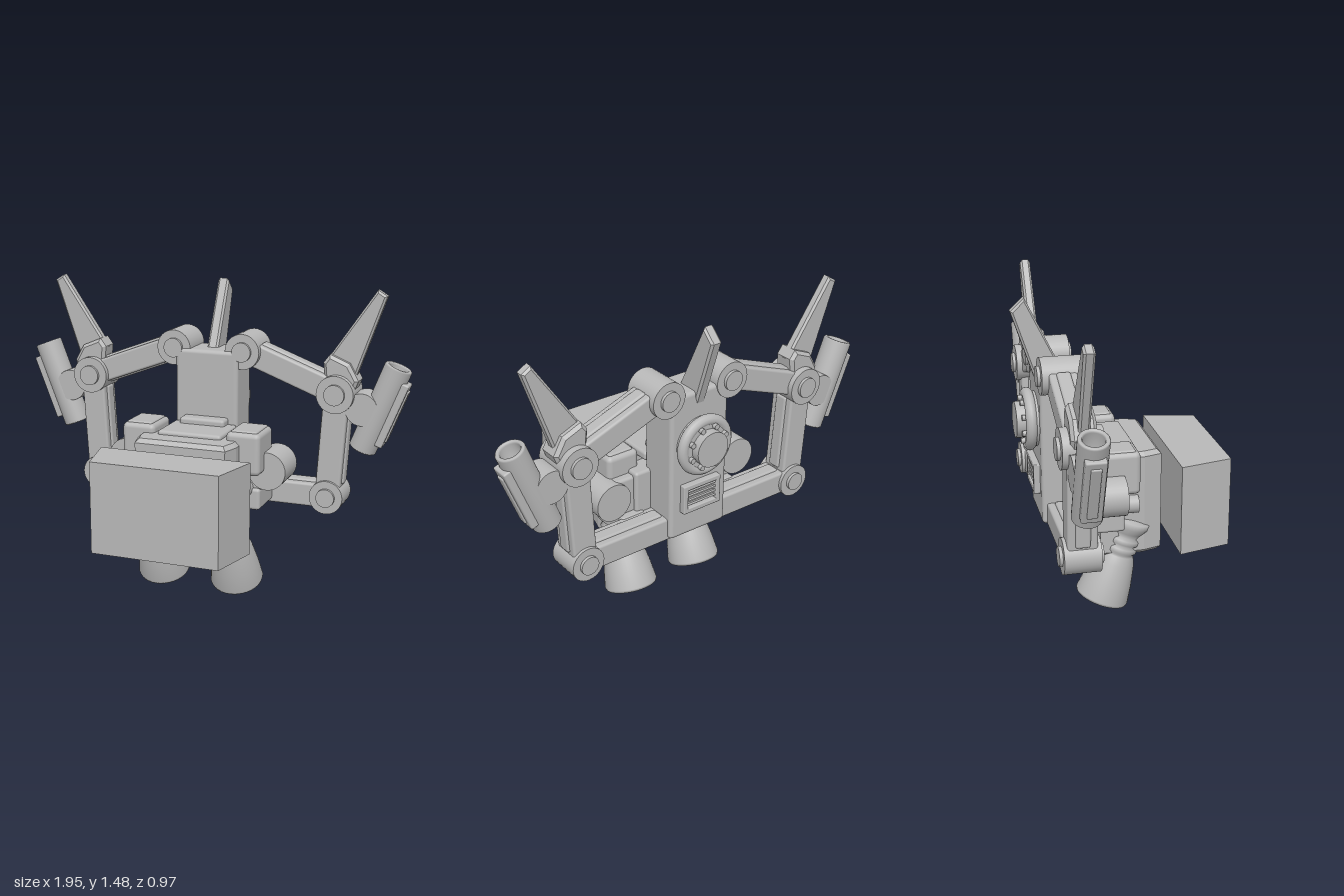
import * as THREE from 'three';
import { RoundedBoxGeometry } from 'three/addons/geometries/RoundedBoxGeometry.js';

export function createModel() {
  const root = new THREE.Group();
  const grey = new THREE.MeshStandardMaterial({ color: 0xb8b8b8 });

  const add = (name, geo, x = 0, y = 0, z = 0) => {
    const m = new THREE.Mesh(geo, grey);
    m.name = name;
    m.position.set(x, y, z);
    root.add(m);
    return m;
  };
  // Softly rounded box given by its extents
  const block = (name, [x0, x1], [y0, y1], [z0, z1], r = 0.015) =>
    add(name, new RoundedBoxGeometry(Math.abs(x1 - x0), y1 - y0, Math.abs(z1 - z0), 2, r),
      (x0 + x1) / 2, (y0 + y1) / 2, (z0 + z1) / 2);
  // Cylinder lying along z
  const drum = (name, x, y, z0, z1, r, r2 = r) => {
    const m = add(name, new THREE.CylinderGeometry(r, r2, Math.abs(z1 - z0), 32), x, y, (z0 + z1) / 2);
    m.rotation.x = Math.PI / 2;
    return m;
  };
  // Bevelled prism from an outline, centred in depth
  const prism = (pts, depth, bevel = 0) => {
    const g = new THREE.ExtrudeGeometry(new THREE.Shape(pts.map(p => new THREE.Vector2(...p))), {
      depth: depth - 2 * bevel, bevelEnabled: bevel > 0, bevelSize: bevel,
      bevelThickness: bevel, bevelOffset: -bevel, bevelSegments: 1 });
    return g.translate(0, 0, -(depth - 2 * bevel) / 2);
  };
  // Beam between two points in the front plane, with a raised rib
  const ARM_Z = -0.285;
  const beam = (name, [x0, y0], [x1, y1], h, d) => {
    const len = Math.hypot(x1 - x0, y1 - y0), a = Math.atan2(y1 - y0, x1 - x0);
    for (const [n, l, hh, dd] of [[name, len, h, d], [name + 'Rib', len * 0.75, h + 0.02, d * 0.5]])
      add(n, new RoundedBoxGeometry(l, hh, dd, 2, 0.012), (x0 + x1) / 2, (y0 + y1) / 2, ARM_Z).rotation.z = a;
  };
  // Pivot drum with small caps on both faces
  const joint = (name, x, y, r, half) => {
    drum(name, x, y, ARM_Z - half, ARM_Z + half, r);
    drum(name + 'Cap', x, y, ARM_Z - half - 0.015, ARM_Z + half + 0.015, r * 0.55);
  };

  // Floating front block, wider at its back
  add('frontBlock', prism([[-0.37, -0.235], [-0.31, -0.485], [0.31, -0.485], [0.37, -0.235]], 0.435)
    .rotateX(-Math.PI / 2), 0, 0.5275, 0);

  // Torso
  add('torso', prism([[-0.25, 0.12], [-0.25, -0.09], [-0.225, -0.175], [0.225, -0.175], [0.25, -0.09], [0.25, 0.12]],
    0.51, 0.02).rotateX(-Math.PI / 2), 0, 0.53, 0);
  block('neckPlate', [-0.16, 0.16], [0.76, 0.805], [-0.18, 0.06]);
  block('neckRidge', [-0.115, 0.115], [0.78, 0.835], [-0.19, -0.11]);
  block('backLink', [-0.24, 0.24], [0.42, 0.74], [-0.22, -0.1]);

  // Spine tower
  block('spine', [-0.16, 0.16], [0.43, 1.16], [-0.375, -0.175], 0.02);
  add('centreFin', prism([[-0.23, 1.1], [-0.375, 1.1], [-0.48, 1.42], [-0.415, 1.48]], 0.056, 0.01)
    .rotateY(-Math.PI / 2));

  // Round hatch with bolts on the back
  const HY = 0.903;
  drum('hatchBase', 0, HY, -0.43, -0.37, 0.13);
  add('hatchRing', new THREE.TorusGeometry(0.122, 0.026, 12, 40), 0, HY, -0.41);
  drum('hatchHub', 0, HY, -0.472, -0.4, 0.085);
  for (let i = 0; i < 8; i++) {
    const a = (i + 0.5) * Math.PI / 4;
    drum('hatchBolt', 0.1 * Math.cos(a), HY + 0.1 * Math.sin(a), -0.45, -0.42, 0.013);
  }

  // Vent frame with slats
  for (const s of [-1, 1]) {
    block('ventSide', [s * 0.08, s * 0.105], [0.565, 0.71], [-0.405, -0.36], 0.005);
    block('ventRail', [-0.1, 0.1], s < 0 ? [0.565, 0.59] : [0.685, 0.71], [-0.405, -0.36], 0.005);
  }
  for (let i = 0; i < 4; i++) {
    const slat = add('ventSlat', new THREE.BoxGeometry(0.17, 0.009, 0.03), 0, 0.603 + i * 0.023, -0.385);
    slat.rotation.x = 0.4;
  }

  // Thruster profile: hollow bell, ringed neck and upper sleeve
  const bell = new THREE.LatheGeometry([
    [0, 0.2], [0.065, 0.2], [0.09, 0.12], [0.115, 0.005], [0.125, 0], [0.129, 0.012], [0.116, 0.1],
    [0.095, 0.2], [0.078, 0.24], [0.074, 0.25], [0.084, 0.262], [0.084, 0.282], [0.072, 0.293],
    [0.084, 0.305], [0.084, 0.325], [0.072, 0.338], [0.08, 0.36], [0.098, 0.39], [0.098, 0.42], [0, 0.44],
  ].map(p => new THREE.Vector2(...p)), 36);

  for (const s of [-1, 1]) {
    // Shoulder pods, side drums and hip fittings
    block('pod', [s * 0.18, s * 0.348], [0.62, 0.825], [-0.16, 0.05], 0.025);
    block('podLid', [s * 0.2, s * 0.33], [0.8, 0.832], [-0.14, 0.03], 0.01);
    drum('sideDrum', s * 0.36, 0.63, -0.22, -0.03, 0.092);
    block('drumMount', [s * 0.22, s * 0.34], [0.53, 0.72], [-0.2, -0.04]);
    block('hipBlock', [s * 0.2, s * 0.33], [0.435, 0.54], [-0.24, -0.02]);
    drum('hipPin', s * 0.25, 0.537, -0.05, 0.057, 0.043);

    // Thruster
    add('thruster', bell, s * 0.193, 0.046, -0.106).rotation.x = 0.345;

    // Folded arm
    const shoulder = [s * 0.175, 1.16], elbow = [s * 0.634, 0.987], wrist = [s * 0.603, 0.478];
    beam('upperArm', shoulder, elbow, 0.115, 0.13);
    beam('foreArm', elbow, wrist, 0.12, 0.135);
    beam('lowerArm', wrist, [s * 0.1, 0.478], 0.115, 0.135);
    joint('shoulderJoint', ...shoulder, 0.086, 0.095);
    joint('elbowJoint', ...elbow, 0.09, 0.092);
    joint('wristJoint', ...wrist, 0.082, 0.083);

    // Blade and its socket
    add('blade', prism([[0.85, 1.45], [0.805, 1.478], [0.565, 1.125], [0.715, 1.06]]
      .map(([x, y]) => [s * x, y]), 0.05, 0.01), 0, 0, ARM_Z);
    add('bladeSocket', prism([[0.58, 0.98], [0.565, 1.13], [0.595, 1.17], [0.69, 1.13], [0.735, 1.05], [0.7, 0.96]]
      .map(([x, y]) => [s * x, y]), 0.115, 0.015), 0, 0, ARM_Z);

    // Barrel with an open top and an outer rail
    drum('barrelMount', s * 0.757, 0.92, ARM_Z - 0.065, ARM_Z + 0.065, 0.078);
    const gun = new THREE.Group();
    gun.name = 'barrel';
    gun.position.set(s * 0.834, 0.92, ARM_Z);
    gun.rotation.z = -s * 0.371;
    root.add(gun);
    const tube = new THREE.LatheGeometry([[0, -0.22], [0.06, -0.22], [0.067, -0.213], [0.067, 0.213],
      [0.062, 0.22], [0.05, 0.22], [0.046, 0.21], [0.046, 0.1], [0, 0.1]].map(p => new THREE.Vector2(...p)), 32);
    gun.add(add('barrelTube', tube));
    gun.add(add('barrelRail', new RoundedBoxGeometry(0.04, 0.33, 0.09, 2, 0.008), s * 0.065));
    gun.add(add('barrelRailStrip', new RoundedBoxGeometry(0.02, 0.27, 0.045, 2, 0.006), s * 0.083));
  }
  return root;
}
